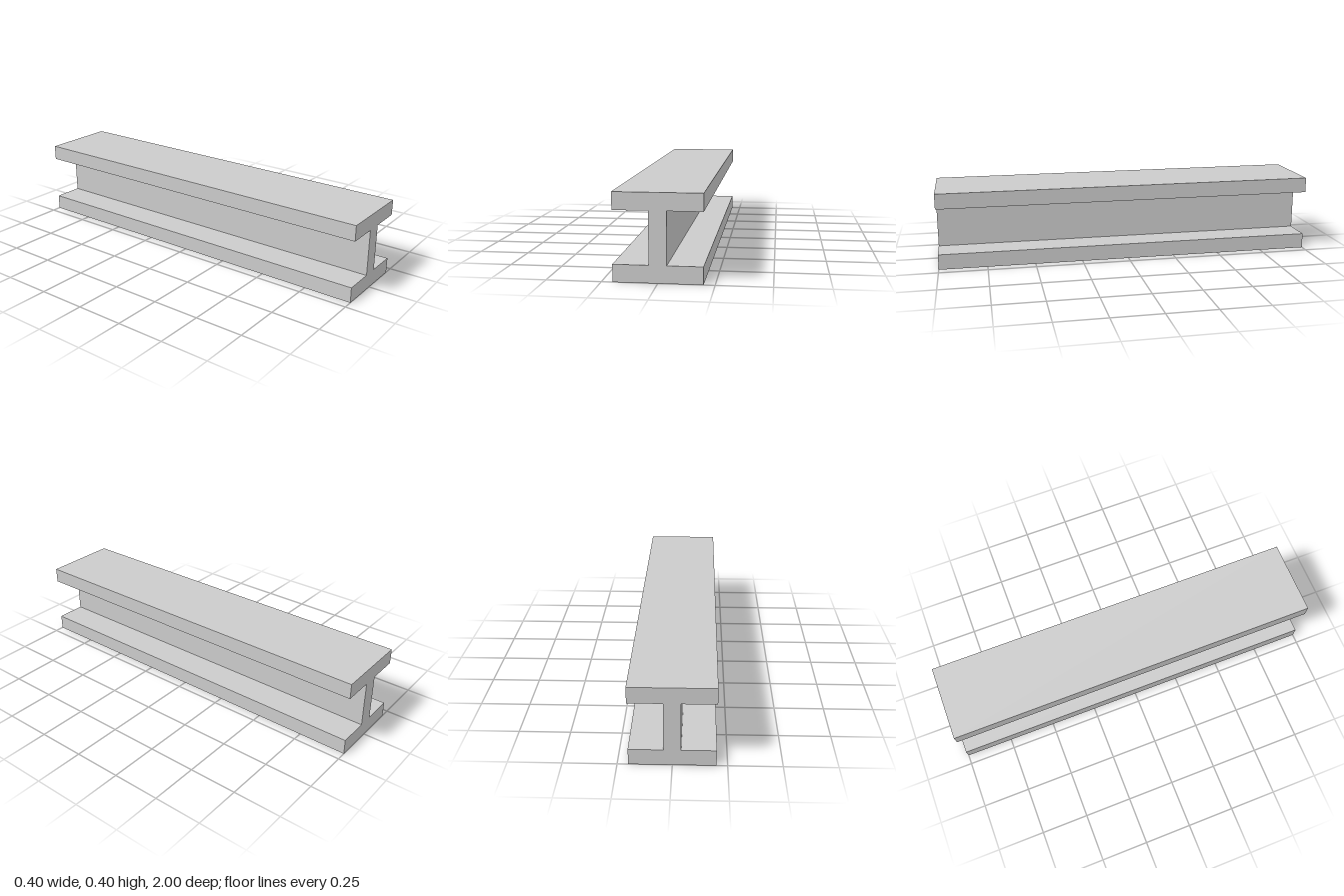
import * as THREE from 'three';

const LENGTH = 2, HALF_WIDTH = 0.2, HEIGHT = 0.4, FLANGE = 0.08, HALF_WEB = 0.04;

export function createModel() {
  const group = new THREE.Group();
  group.name = 'iBeam';

  // Right half of the I section, bottom to top; the left half is its mirror
  const half = [
    [HALF_WIDTH, 0],
    [HALF_WIDTH, FLANGE],
    [HALF_WEB, FLANGE],
    [HALF_WEB, HEIGHT - FLANGE],
    [HALF_WIDTH, HEIGHT - FLANGE],
    [HALF_WIDTH, HEIGHT],
  ];
  const mirrored = half.map(([x, y]) => [-x, y]).reverse();
  const section = new THREE.Shape([...half, ...mirrored].map(([x, y]) => new THREE.Vector2(x, y)));

  // Section swept along z, centred on the origin
  const geometry = new THREE.ExtrudeGeometry(section, { depth: LENGTH, bevelEnabled: false });
  geometry.translate(0, 0, -LENGTH / 2);

  const material = new THREE.MeshStandardMaterial({ color: 0xcccccc, flatShading: true });
  const beam = new THREE.Mesh(geometry, material);
  beam.name = 'beam';
  group.add(beam);
  return group;
}
